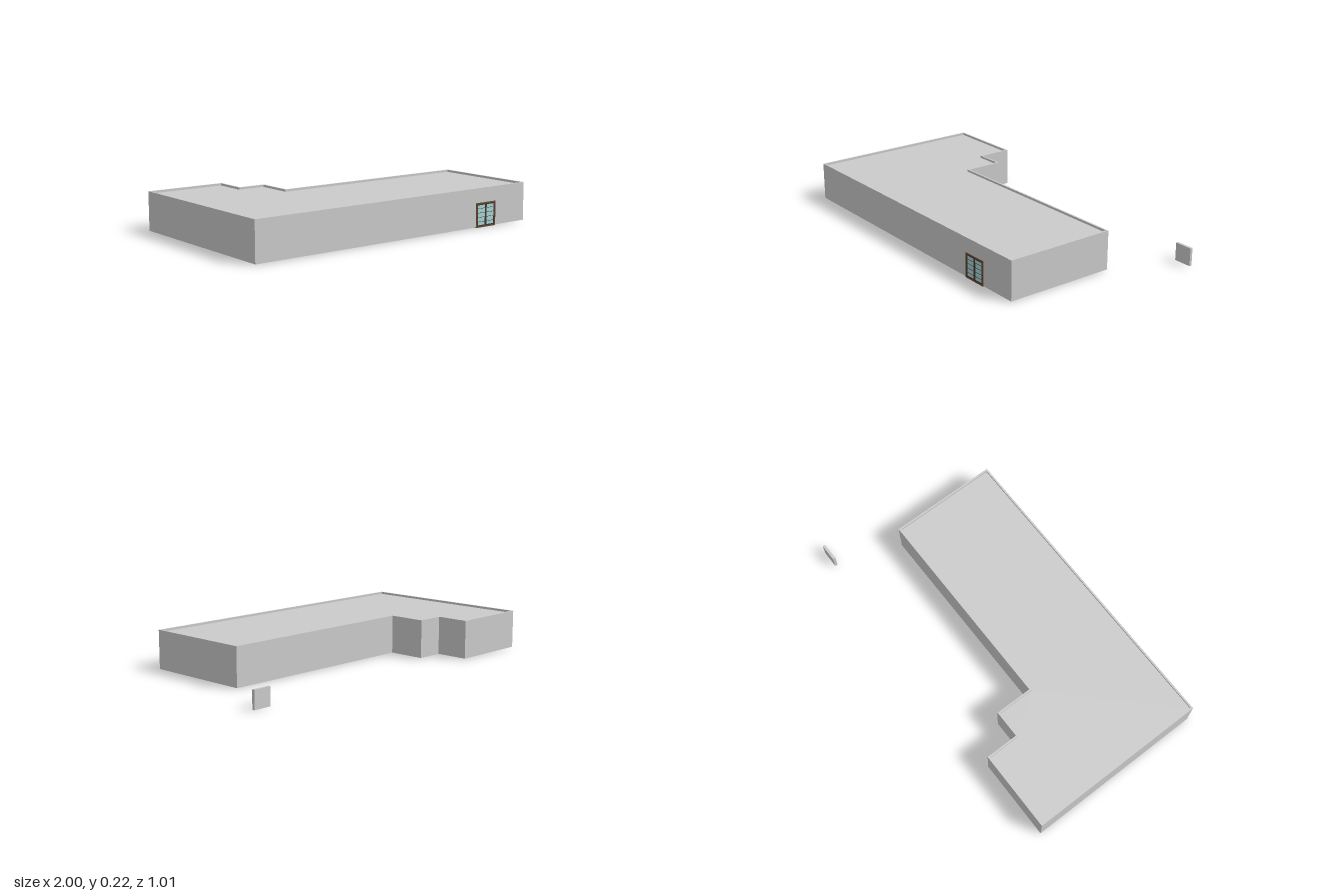
import * as THREE from 'three';

const grey = new THREE.MeshStandardMaterial({ color: 0xcccccc, flatShading: true });
const wood = new THREE.MeshStandardMaterial({ color: 0x6b4a35 });
const darkWood = new THREE.MeshStandardMaterial({ color: 0x3f3630 });
const glass = new THREE.MeshStandardMaterial({ color: 0xa9d3d3 });

// Stepped L-shaped plan, counter-clockwise, as (x, -z)
const plan = [
  [-1, -0.505], [0.775, -0.505], [0.775, 0.11], [-0.395, 0.11],
  [-0.395, 0.32], [-0.55, 0.32], [-0.55, 0.505], [-1, 0.505],
].map(([x, y]) => new THREE.Vector2(x, y));

// Moves every right-angled corner inward by t
function inset(points, t) {
  const n = points.length;
  return points.map((p, i) => {
    const a = p.clone().sub(points[(i + n - 1) % n]).normalize();
    const b = points[(i + 1) % n].clone().sub(p).normalize();
    return new THREE.Vector2(p.x - (a.y + b.y) * t, p.y + (a.x + b.x) * t);
  });
}

// Extrudes a plan upward from y0 to y1
function slab(name, shape, y0, y1) {
  const geometry = new THREE.ExtrudeGeometry(shape, { depth: y1 - y0, bevelEnabled: false });
  geometry.rotateX(-Math.PI / 2);
  const mesh = new THREE.Mesh(geometry, grey);
  mesh.name = name;
  mesh.position.y = y0;
  return mesh;
}

function box(name, material, x0, x1, y0, y1, z0, z1) {
  const mesh = new THREE.Mesh(new THREE.BoxGeometry(x1 - x0, y1 - y0, z1 - z0), material);
  mesh.name = name;
  mesh.position.set((x0 + x1) / 2, (y0 + y1) / 2, (z0 + z1) / 2);
  return mesh;
}

function createDoor() {
  const door = new THREE.Group();
  door.name = 'doubleDoor';
  const x0 = 0.412, x1 = 0.555, top = 0.135, f = 0.007, back = 0.49, front = 0.508;
  const middle = (x0 + x1) / 2;

  // Outer frame
  door.add(
    box('leftJamb', wood, x1 - f, x1, 0, top, back, front),
    box('rightJamb', wood, x0, x0 + f, 0, top, back, front),
    box('lintel', wood, x0 + f, x1 - f, top - f, top, back, front),
    box('sill', wood, x0 + f, x1 - f, 0, f, back, front),
  );

  // Two glazed leaves, each with a frame and glazing bars
  for (const [name, a, b] of [['rightLeaf', x0 + f, middle], ['leftLeaf', middle, x1 - f]]) {
    const leaf = new THREE.Group();
    leaf.name = name;
    const s = 0.006, y0 = f, y1 = top - f, z = 0.507;
    leaf.add(
      box('outerStile', darkWood, a, a + s, y0, y1, back, z),
      box('innerStile', darkWood, b - s, b, y0, y1, back, z),
      box('bottomRail', darkWood, a + s, b - s, y0, y0 + s, back, z),
      box('topRail', darkWood, a + s, b - s, y1 - s, y1, back, z),
      box('glass', glass, a + s, b - s, y0 + s, y1 - s, back, 0.5055),
    );
    for (let i = 1; i <= 4; i++) {
      const y = y0 + (i * (y1 - y0)) / 5;
      leaf.add(box('glazingBar', darkWood, a + s, b - s, y - 0.001, y + 0.001, back, 0.5065));
    }
    door.add(leaf);
  }
  return door;
}

export function createModel() {
  const model = new THREE.Group();
  model.name = 'building';
  const inner = inset(plan, 0.01);

  // Perimeter walls rising above the roof as a parapet
  const wallShape = new THREE.Shape(plan);
  wallShape.holes.push(new THREE.Path(inner));
  model.add(slab('walls', wallShape, 0.003, 0.215));

  // Floor and sunken flat roof
  model.add(slab('floor', new THREE.Shape(inner), 0.003, 0.012));
  model.add(slab('roof', new THREE.Shape(inner), 0.19, 0.203));

  model.add(createDoor());

  // Free-standing wall piece beside the building
  model.add(box('detachedPanel', grey, 0.9, 1, 0.003, 0.1, -0.485, -0.47));
  return model;
}
